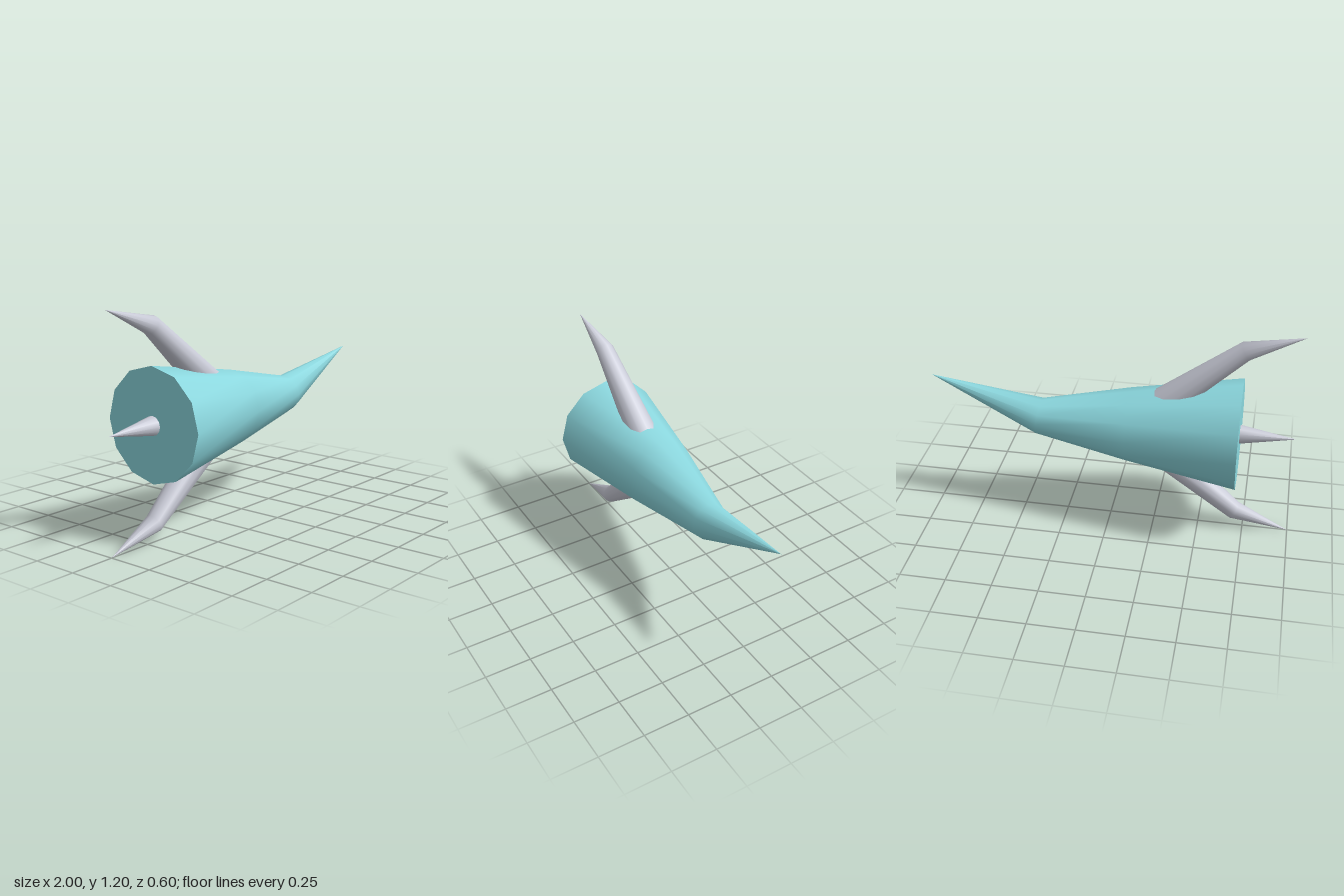
import * as THREE from 'three';

const SIDES = 12;

// Tapered tube along a path in the xy plane; points are [x, y, radius].
// Rings at bends sit on the mitre, and the first ring is closed by a flat cap.
function taperedTube(points) {
  const pos = [], index = [];
  const angle = (a, b) => Math.atan2(b[1] - a[1], b[0] - a[0]);
  const ring = (i) => {
    const [x, y, r] = points[i];
    const dirs = [];
    if (i > 0) dirs.push(angle(points[i - 1], points[i]));
    if (i < points.length - 1) dirs.push(angle(points[i], points[i + 1]));
    const tx = dirs.reduce((s, a) => s + Math.cos(a), 0);
    const ty = dirs.reduce((s, a) => s + Math.sin(a), 0);
    const t = Math.atan2(ty, tx);
    for (let j = 0; j < SIDES; j++) {
      const a = (j / SIDES) * Math.PI * 2;
      const n = r * Math.cos(a);
      pos.push(x - Math.sin(t) * n, y + Math.cos(t) * n, r * Math.sin(a));
    }
  };

  // side walls, smooth all round
  points.forEach((_, i) => ring(i));
  for (let i = 0; i < points.length - 1; i++) {
    for (let j = 0; j < SIDES; j++) {
      const k = (j + 1) % SIDES;
      const a = i * SIDES + j, b = i * SIDES + k;
      index.push(a, b, a + SIDES);
      if (points[i + 1][2] > 0) index.push(b, b + SIDES, a + SIDES);
    }
  }

  // flat cap with its own corners, so the rim stays sharp
  const cap = pos.length / 3;
  ring(0);
  const centre = pos.length / 3;
  pos.push(points[0][0], points[0][1], 0);
  for (let j = 0; j < SIDES; j++) index.push(centre, cap + ((j + 1) % SIDES), cap + j);

  const geo = new THREE.BufferGeometry();
  geo.setAttribute('position', new THREE.Float32BufferAttribute(pos, 3));
  geo.setIndex(index);
  geo.computeVertexNormals();
  return geo;
}

export function createModel() {
  const group = new THREE.Group();
  const teal = new THREE.MeshStandardMaterial({ name: 'teal', color: 0x8bd7de });
  const paleGrey = new THREE.MeshStandardMaterial({ name: 'paleGrey', color: 0xc8cad6 });

  const add = (name, points, material) => {
    const mesh = new THREE.Mesh(taperedTube(points), material);
    mesh.name = name;
    group.add(mesh);
  };

  // cone body with an upturned pointed nose
  add('body', [[-0.7, 0.6, 0.3], [-0.1, 0.6, 0.2], [0.4, 0.6, 0.1], [1, 0.8, 0]], teal);

  // three spikes growing from the core: upper, middle and lower
  const spikes = { upperSpike: 1, tailSpike: 0, lowerSpike: -1 };
  for (const [name, s] of Object.entries(spikes)) {
    add(name, [[-0.1, 0.6, 0.1], [-0.7, 0.6 + 0.5 * s, 0.051], [-1, 0.6 + 0.6 * s, 0]], paleGrey);
  }
  return group;
}
